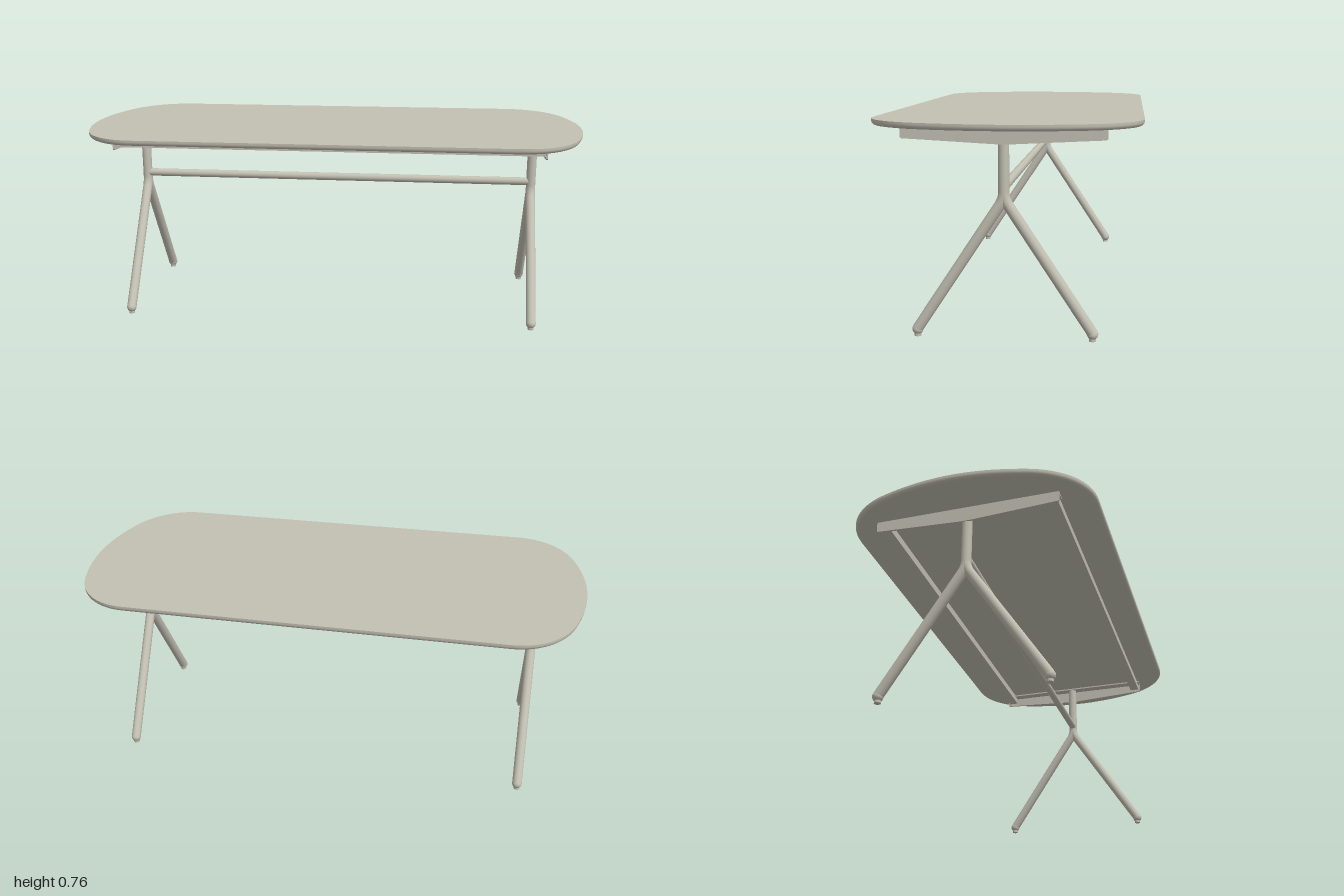
import * as THREE from 'three';

const paint = new THREE.MeshStandardMaterial({ color: 0xc3c0b3 });
paint.name = 'warm grey';

const TOP = 0.757, UNDER = 0.735, LEG_X = 0.813, R = 0.019;

function add(parent, name, geometry, x = 0, y = 0, z = 0) {
  const m = new THREE.Mesh(geometry, paint);
  m.name = name;
  m.position.set(x, y, z);
  parent.add(m);
  return m;
}

// Quarter outline mirrored into the full rounded plan of the top
function outline() {
  const q = new THREE.Path();
  q.moveTo(1, 0);
  q.bezierCurveTo(1, 0.08, 0.988, 0.165, 0.963, 0.25);
  q.bezierCurveTo(0.93, 0.38, 0.84, 0.47, 0.72, 0.47);
  const a = q.getPoints(20);
  const half = [...a, ...a.slice().reverse().map(p => new THREE.Vector2(-p.x, p.y))];
  return [...half, ...half.slice(1, -1).reverse().map(p => new THREE.Vector2(p.x, -p.y))];
}

// Outline shrunk along its own normals
function inset(pts, d) {
  const n = pts.length;
  return pts.map((p, i) => {
    const t = pts[(i + 1) % n].clone().sub(pts[(i + n - 1) % n]).normalize();
    return new THREE.Vector2(p.x - t.y * d, p.y + t.x * d);
  });
}

function tabletop() {
  const g = new THREE.Group();
  g.name = 'tabletop';
  const pts = outline(), n = pts.length;

  // Edge: upright at the top, rolled under at the bottom
  const r = 0.015, levels = [[TOP, 0]];
  for (let k = 0; k <= 5; k++) {
    const a = k / 5 * Math.PI / 2;
    levels.push([UNDER + r * (1 - Math.sin(a)), r * (1 - Math.cos(a))]);
  }
  const pos = [], idx = [];
  levels.forEach(([y, d], k) => {
    inset(pts, d).forEach((p, i) => {
      pos.push(p.x, y, p.y);
      if (k === levels.length - 1) return;
      const a = k * n + i, b = k * n + (i + 1) % n;
      idx.push(a, b, a + n, b, b + n, a + n);
    });
  });
  const edge = new THREE.BufferGeometry();
  edge.setAttribute('position', new THREE.Float32BufferAttribute(pos, 3));
  edge.setIndex(idx);
  edge.computeVertexNormals();
  add(g, 'edge', edge);

  // Flat faces
  add(g, 'surface', new THREE.ShapeGeometry(new THREE.Shape(pts)).rotateX(-Math.PI / 2), 0, TOP);
  add(g, 'underside', new THREE.ShapeGeometry(new THREE.Shape(inset(pts, r))).rotateX(Math.PI / 2), 0, UNDER);
  return g;
}

// Trestle with forked legs, facing +x or -x
function trestle(side) {
  const g = new THREE.Group();
  g.name = side > 0 ? 'leftTrestle' : 'rightTrestle';
  const x = side * LEG_X;

  add(g, 'post', new THREE.CylinderGeometry(R, R, UNDER - 0.51, 28), x, (UNDER + 0.51) / 2, 0);

  for (const s of [1, -1]) {
    // Leg bends out of the post and runs straight to the floor
    const v = (y, z) => new THREE.Vector3(0, y, z * s);
    const path = new THREE.CurvePath();
    path.add(new THREE.LineCurve3(v(0.53, 0), v(0.515, 0)));
    path.add(new THREE.QuadraticBezierCurve3(v(0.515, 0), v(0.49, 0), v(0.467, 0.0152)));
    path.add(new THREE.LineCurve3(v(0.467, 0.0152), v(0.027, 0.305)));
    add(g, 'leg', new THREE.TubeGeometry(path, 90, R, 24), x);

    // Rounded foot and glide
    add(g, 'foot', new THREE.SphereGeometry(0.0195, 24, 16), x, 0.025, 0.305 * s);
    add(g, 'glide', new THREE.CylinderGeometry(0.012, 0.012, 0.014, 20), x, 0.007, 0.305 * s);
  }

  // Tapered angle iron under the top
  const plate = new THREE.Shape([
    [-0.35, UNDER], [-0.35, 0.698], [-0.345, 0.694], [-0.02, 0.677], [0.02, 0.677],
    [0.345, 0.694], [0.35, 0.698], [0.35, UNDER],
  ].map(p => new THREE.Vector2(...p)));
  const t = 0.007;
  const web = new THREE.ExtrudeGeometry(plate, { depth: t, bevelEnabled: false });
  web.translate(0, 0, -t / 2).rotateY(Math.PI / 2);
  add(g, 'bracketWeb', web, side * 0.8315);
  add(g, 'bracketFlange', new THREE.BoxGeometry(0.045, 0.006, 0.7), side * 0.8125, UNDER - 0.003, 0);
  return g;
}

export function createModel() {
  const model = new THREE.Group();
  model.name = 'table';
  model.add(tabletop(), trestle(1), trestle(-1));

  // Long rails beneath the top
  for (const s of [1, -1])
    add(model, 'rail', new THREE.BoxGeometry(1.656, 0.03, 0.04), 0, UNDER - 0.015, s * 0.322);

  // Round stretcher between the posts
  add(model, 'stretcher', new THREE.CylinderGeometry(0.016, 0.016, LEG_X * 2, 24).rotateZ(Math.PI / 2), 0, 0.53, 0);
  return model;
}
